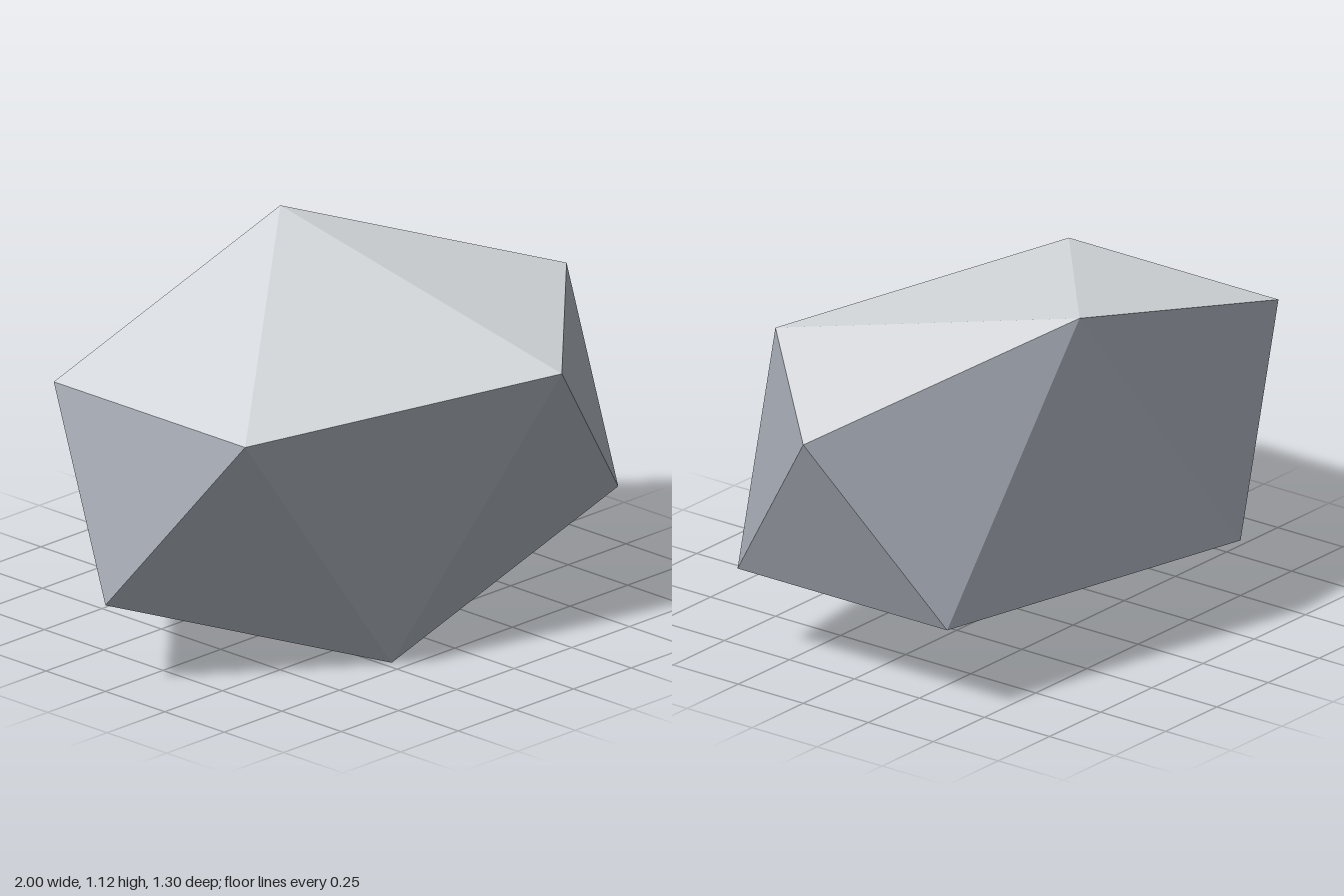
import * as THREE from 'three';

function makeMaterial(name, color) {
  const material = new THREE.MeshStandardMaterial({ color });
  material.name = name;
  return material;
}

// Mesh of separate triangles, so every facet has hard edges
function makeFacets(name, corners, facets, material) {
  const points = facets.flat().flatMap((i) => corners[i]);
  const geometry = new THREE.BufferGeometry();
  geometry.setAttribute('position', new THREE.Float32BufferAttribute(points, 3));
  geometry.computeVertexNormals();
  const mesh = new THREE.Mesh(geometry, material);
  mesh.name = name;
  return mesh;
}

export function createModel() {
  const slate = makeMaterial('slateGrey', 0x9fa5ae);
  const pale = makeMaterial('paleGrey', 0xd6d9dd);

  const MID = 0.56; // height of the centre of the rock
  // Five corners; the other five are their point reflections through the centre
  const half = [
    [1, 0.842, 0],
    [0.309, 0.842, 0.651],
    [-0.809, 0.842, 0.403],
    [-0.809, 0.842, -0.403],
    [0.222, 1.12, -0.45],
  ];
  const corners = [...half, ...half.map(([x, y, z]) => [-x, 2 * MID - y, -z])];

  // Half of the facets; corner i + 5 is the opposite of corner i
  const topFacets = [[4, 1, 0], [4, 2, 1], [4, 3, 2]];
  const sideFacets = [[4, 6, 3], [4, 7, 6], [4, 0, 7], [0, 1, 8], [0, 8, 7]];
  const opposite = (i) => (i + 5) % 10;
  const reflect = ([a, b, c]) => [opposite(a), opposite(c), opposite(b)];

  const group = new THREE.Group();
  group.name = 'facetedRock';
  group.add(
    makeFacets('rockTop', corners, topFacets, pale),
    makeFacets('rockSides', corners, [...sideFacets, ...sideFacets.map(reflect)], slate),
    makeFacets('rockUnderside', corners, topFacets.map(reflect), slate),
  );
  return group;
}
